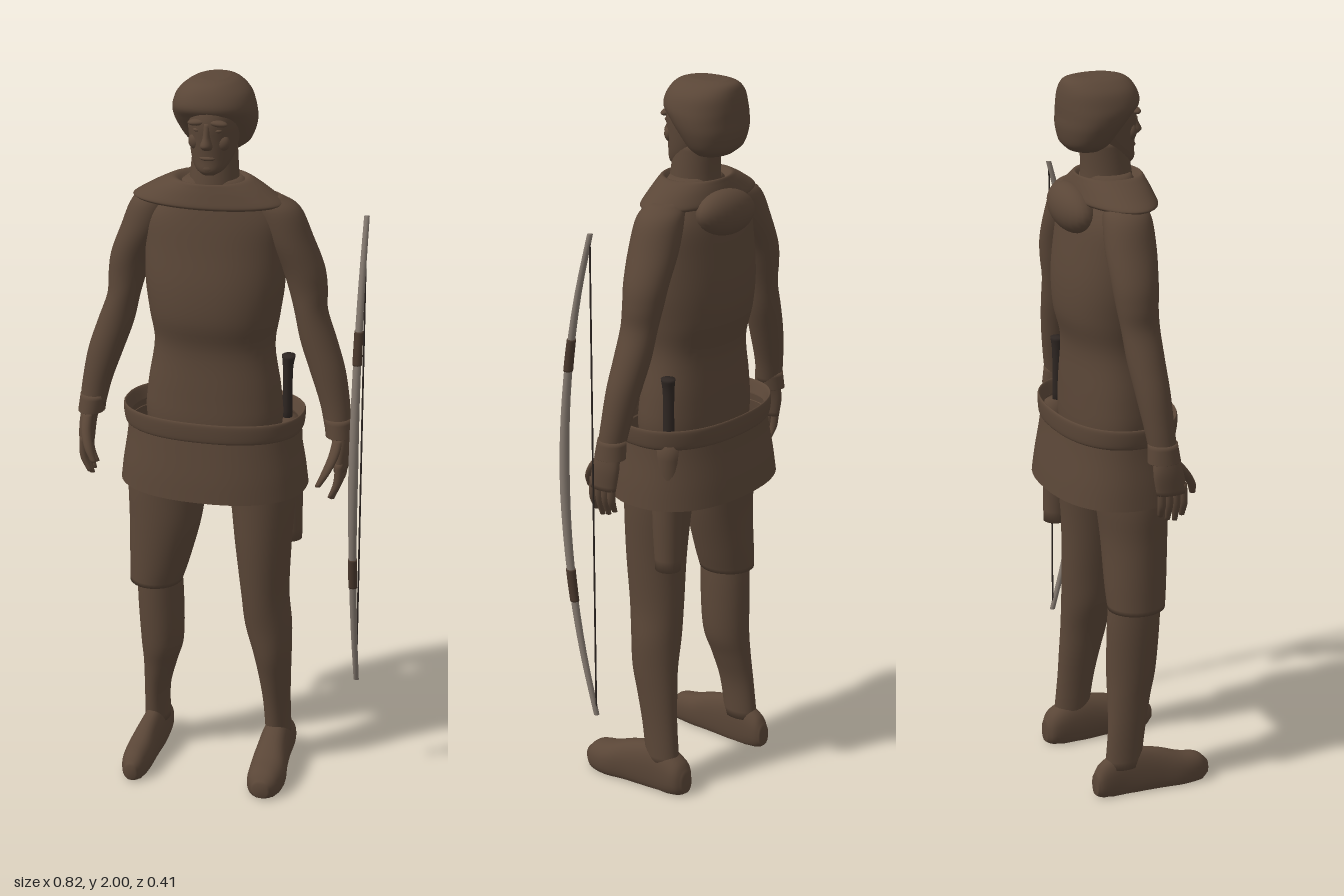
import * as THREE from 'three';

const CX = -0.02; // body centre line

function mat(name, color, side = THREE.FrontSide) {
  const m = new THREE.MeshStandardMaterial({ color, side });
  m.name = name;
  return m;
}

// Smooth skin through elliptical cross-sections [y, centreX, centreZ, radiusX, radiusZ].
function loft(rows, { cap = true, power = 2, sides = 32, steps = 5 } = {}) {
  if (rows[0][0] > rows[rows.length - 1][0]) rows = [...rows].reverse();
  const spine = new THREE.CatmullRomCurve3(rows.map(r => new THREE.Vector3(r[1], r[0], r[2])), false, 'catmullrom', 0.5);
  const size = new THREE.CatmullRomCurve3(rows.map(r => new THREE.Vector3(r[3], r[4], 0)), false, 'catmullrom', 0.5);
  const n = (rows.length - 1) * steps;
  const rings = [];
  for (let i = 0; i <= n; i++) rings.push([spine.getPoint(i / n), size.getPoint(i / n)]);
  if (cap) {
    const zero = new THREE.Vector3();
    rings.unshift([rings[0][0], zero]);
    rings.push([rings[rings.length - 1][0], zero]);
  }
  const pos = [], index = [];
  const round = v => Math.sign(v) * Math.pow(Math.abs(v), 2 / power);
  rings.forEach(([c, s], i) => {
    for (let j = 0; j < sides; j++) {
      const a = (j / sides) * Math.PI * 2;
      pos.push(c.x + s.x * round(Math.cos(a)), c.y, c.z + s.y * round(Math.sin(a)));
      if (i === rings.length - 1) continue;
      const k = (j + 1) % sides, A = i * sides + j, B = i * sides + k;
      index.push(A, A + sides, B, B, A + sides, B + sides);
    }
  });
  const g = new THREE.BufferGeometry();
  g.setAttribute('position', new THREE.Float32BufferAttribute(pos, 3));
  g.setIndex(index);
  g.computeVertexNormals();
  return g;
}

export function createModel() {
  const model = new THREE.Group();
  model.name = 'archer';
  const brown = mat('brown cloth', 0x5a4637);
  const brownOpen = mat('brown open cloth', 0x5a4637, THREE.DoubleSide);
  const wood = mat('grey wood', 0x857a70);
  const wrap = mat('dark wrap', 0x4a382c);
  const dark = mat('dark leather', 0x2e2622);

  const add = (name, geometry, material = brown) => {
    const m = new THREE.Mesh(geometry, material);
    m.name = name;
    model.add(m);
    return m;
  };
  const blob = (name, p, s, rz = 0) => {
    const m = add(name, new THREE.SphereGeometry(1, 24, 16));
    m.position.set(...p);
    m.scale.set(...s);
    m.rotation.z = rz;
  };

  // Tunic body
  add('torso', loft([
    [0.93, CX, -0.02, 0.15, 0.10], [1.05, CX, -0.018, 0.188, 0.115], [1.15, CX, -0.02, 0.184, 0.112],
    [1.27, CX, -0.022, 0.166, 0.107], [1.36, CX, -0.023, 0.178, 0.127], [1.45, CX, -0.025, 0.19, 0.128],
    [1.55, CX, -0.027, 0.19, 0.114], [1.63, CX, -0.026, 0.18, 0.1], [1.69, CX, -0.02, 0.13, 0.08],
    [1.74, CX, -0.02, 0.07, 0.06]], { power: 2.2, sides: 40 }));

  // Flared skirt and rolled belt, both open around the body
  add('skirt', loft([[0.87, CX, -0.02, 0.26, 0.183], [0.93, CX, -0.019, 0.253, 0.176], [1.0, CX, -0.018, 0.242, 0.165],
    [1.055, CX, -0.018, 0.236, 0.157]], { cap: false, power: 2.3, sides: 48 }), brownOpen);
  add('belt', loft([[1.035, CX, -0.018, 0.236, 0.156], [1.045, CX, -0.018, 0.247, 0.163], [1.085, CX, -0.018, 0.252, 0.165],
    [1.092, CX, -0.018, 0.246, 0.159], [1.06, CX, -0.018, 0.232, 0.148]], { cap: false, power: 2.3, sides: 48 }), brownOpen);

  // Shoulder cape and the hood hanging behind it
  add('cape', loft([[1.672, -0.035, -0.018, 0.2, 0.1], [1.68, -0.035, -0.018, 0.207, 0.105], [1.7, -0.033, -0.018, 0.178, 0.1],
    [1.725, -0.03, -0.018, 0.135, 0.092], [1.738, -0.028, -0.018, 0.1, 0.085], [1.72, -0.025, -0.018, 0.075, 0.07]],
  { cap: false, sides: 40 }), brownOpen);
  blob('hangingHood', [CX, 1.65, -0.12], [0.11, 0.062, 0.052], 0.12);

  // Neck, head and face
  add('neck', loft([[1.68, CX, -0.02, 0.075, 0.075], [1.74, CX, -0.02, 0.066, 0.068], [1.83, CX, -0.03, 0.058, 0.062]]));
  add('head', loft([
    [1.758, CX, 0.025, 0.022, 0.025], [1.772, CX, 0.01, 0.042, 0.048], [1.8, CX, -0.005, 0.056, 0.062],
    [1.85, CX, -0.02, 0.066, 0.08], [1.9, CX, -0.025, 0.07, 0.087], [1.95, CX, -0.035, 0.065, 0.08]]));
  add('nose', loft([[1.83, CX, 0.055, 0.013, 0.014], [1.842, CX, 0.062, 0.016, 0.02], [1.865, CX, 0.058, 0.01, 0.014],
    [1.9, CX, 0.055, 0.009, 0.008]], { sides: 16 }));
  blob('mouth', [CX, 1.805, 0.05], [0.022, 0.007, 0.012]);
  blob('chin', [CX, 1.777, 0.045], [0.02, 0.014, 0.014]);
  for (const s of [-1, 1]) {
    blob('brow', [CX + s * 0.028, 1.9, 0.05], [0.026, 0.009, 0.014], s * -0.1);
    blob('eye', [CX + s * 0.027, 1.88, 0.048], [0.012, 0.006, 0.01]);
    blob('cheek', [CX + s * 0.036, 1.845, 0.034], [0.02, 0.022, 0.016]);
  }

  // Soft cap, low at the back and rolled above the brow
  add('cap', loft([
    [1.805, CX, -0.085, 0.055, 0.04], [1.825, -0.025, -0.085, 0.085, 0.06], [1.865, -0.027, -0.075, 0.105, 0.08],
    [1.9, -0.028, -0.06, 0.112, 0.095], [1.93, -0.028, -0.048, 0.109, 0.107], [1.965, -0.028, -0.05, 0.095, 0.101],
    [1.99, -0.028, -0.055, 0.065, 0.085], [2.0, -0.028, -0.058, 0.035, 0.055]], { power: 2.2 }));

  // Arms and hands, mirrored about the centre line
  for (const s of [-1, 1]) {
    const at = rows => rows.map(([y, x, z, rx, rz]) => [y, CX + s * x, z, rx, rz]);
    add('sleeve', loft(at([
      [1.695, 0.13, -0.03, 0.045, 0.04], [1.66, 0.165, -0.035, 0.064, 0.062], [1.58, 0.2, -0.04, 0.064, 0.068],
      [1.5, 0.237, -0.045, 0.058, 0.062], [1.44, 0.252, -0.045, 0.052, 0.056], [1.38, 0.262, -0.04, 0.045, 0.052],
      [1.3, 0.285, -0.035, 0.05, 0.05], [1.22, 0.312, -0.028, 0.049, 0.046], [1.13, 0.336, -0.02, 0.041, 0.04],
      [1.06, 0.348, -0.012, 0.036, 0.037]])));
    add('cuff', loft(at([[1.09, 0.345, -0.014, 0.037, 0.04], [1.04, 0.352, -0.012, 0.037, 0.045]])));
    add('palm', loft(at([[1.06, 0.35, -0.01, 0.025, 0.03], [1.01, 0.36, -0.004, 0.022, 0.042], [0.95, 0.362, 0.006, 0.018, 0.043]])));
    for (let f = 0; f < 4; f++) {
      const z = -0.026 + f * 0.021, end = 0.862 + Math.abs(f - 1.7) * 0.012;
      add('finger', loft(at([[0.975, 0.363, z, 0.011, 0.011], [0.92, 0.36, z + 0.004, 0.011, 0.011],
        [end, 0.342, z + 0.008, 0.007, 0.007]]), { sides: 10 }));
    }
    add('thumb', loft(at([[1.04, 0.355, 0.015, 0.014, 0.014], [1.0, 0.35, 0.048, 0.014, 0.014],
      [0.96, 0.335, 0.075, 0.012, 0.012], [0.925, 0.317, 0.088, 0.008, 0.008]]), { sides: 12 }));
  }

  // Legs: the right one has a loose breeches leg ending in a hem
  add('rightBreeches', loft([[1.0, -0.13, -0.005, 0.1, 0.098], [0.87, -0.15, -0.005, 0.11, 0.097], [0.75, -0.157, 0, 0.102, 0.09],
    [0.62, -0.175, -0.003, 0.085, 0.085], [0.55, -0.187, -0.005, 0.074, 0.08]]));
  add('rightShin', loft([[0.62, -0.178, -0.003, 0.06, 0.072], [0.5, -0.175, -0.008, 0.064, 0.074], [0.36, -0.173, -0.014, 0.06, 0.07],
    [0.28, -0.183, -0.025, 0.047, 0.062], [0.19, -0.196, -0.037, 0.036, 0.055], [0.08, -0.2, -0.05, 0.035, 0.052]]));
  add('leftLeg', loft([[1.0, 0.1, -0.005, 0.1, 0.098], [0.87, 0.12, -0.005, 0.092, 0.097], [0.7, 0.125, 0, 0.078, 0.088],
    [0.55, 0.13, -0.005, 0.067, 0.08], [0.45, 0.139, -0.01, 0.066, 0.073], [0.36, 0.15, -0.014, 0.054, 0.069],
    [0.28, 0.155, -0.025, 0.045, 0.062], [0.19, 0.159, -0.037, 0.038, 0.055], [0.08, 0.162, -0.05, 0.036, 0.052]]));

  // Shoes: sections run heel to toe, soles flattened on the ground
  const shoe = (name, x, toe, w) => {
    const g = loft([[-0.135, x, -0.035, 0.02, 0.03], [-0.11, x, -0.045, w * 0.75, 0.055], [-0.04, x, -0.05, w * 0.8, 0.08],
      [0.05, x + toe * 0.5, -0.045, w * 0.9, 0.07], [0.12, x + toe, -0.035, w, 0.055], [0.175, x + toe, -0.032, w * 0.85, 0.045],
      [0.205, x + toe, -0.028, w * 0.4, 0.022]], { power: 2.3 }).rotateX(Math.PI / 2);
    const p = g.attributes.position;
    for (let i = 0; i < p.count; i++) p.setY(i, Math.max(0, p.getY(i)));
    g.computeVertexNormals();
    add(name, g);
  };
  shoe('rightShoe', -0.2, -0.008, 0.039);
  shoe('leftShoe', 0.16, 0.012, 0.053);

  // Sheath under the skirt with the grip above the belt
  add('sheath', loft([[0.685, 0.18, -0.085, 0.034, 0.036], [0.85, 0.178, -0.08, 0.037, 0.042], [1.05, 0.175, -0.08, 0.035, 0.04]]));
  add('grip', loft([[1.04, 0.17, -0.08, 0.014, 0.016], [1.18, 0.17, -0.08, 0.014, 0.016], [1.23, 0.172, -0.08, 0.019, 0.02]],
    { sides: 12 }), dark);

  // Longbow, curved forward, with two wraps and a string
  const bowPart = (name, y0, y1, extra, material) => {
    const rows = [];
    for (let i = 0; i <= 8; i++) {
      const y = y0 + (y1 - y0) * i / 8, t = Math.abs(y - 0.985) / 0.68;
      const r = 0.0135 - 0.006 * t + extra;
      rows.push([y, 0.395, 0.093 - 0.1 * t * t, r, r]);
    }
    add(name, loft(rows, { sides: 14, steps: 3 }), material);
  };
  bowPart('bow', 0.305, 1.665, 0, wood);
  bowPart('upperWrap', 1.28, 1.37, 0.002, wrap);
  bowPart('lowerWrap', 0.625, 0.715, 0.002, wrap);
  add('bowString', new THREE.CylinderGeometry(0.0025, 0.0025, 1.34, 6), dark).position.set(0.395, 0.985, -0.006);

  return model;
}
